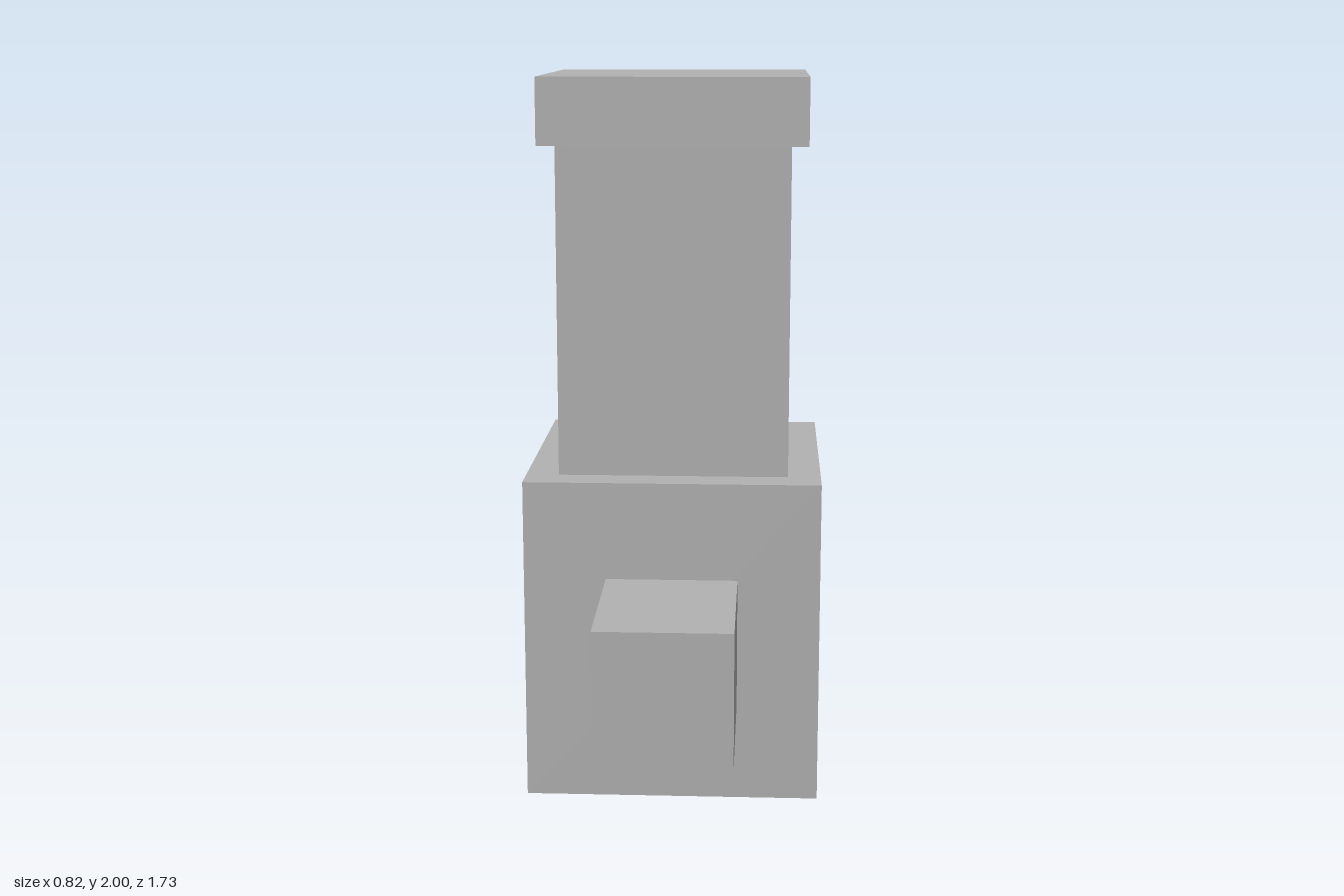
import * as THREE from 'three';

export function createModel() {
  const group = new THREE.Group();
  const stone = new THREE.MeshStandardMaterial({ color: 0xb2b2b2 });
  stone.name = 'plain grey';
  const u = 1 / 11; // proportional unit: the model is 22 units tall

  // Box of size w x h x d units, with its bottom at y and centre at z
  function block(name, w, h, d, y, z = 0) {
    const mesh = new THREE.Mesh(new THREE.BoxGeometry(w * u, h * u, d * u), stone);
    mesh.name = name;
    mesh.position.set(0, (y + h / 2) * u, z * u);
    group.add(mesh);
  }

  // Stacked square tower
  block('base', 9, 10, 9, 0);
  block('column', 7, 10, 7, 10);
  block('cap', 8, 2, 8, 20);

  // Square arms at front and back
  block('frontArm', 4, 4, 5, 3, 7);
  block('backArm', 4, 4, 5, 3, -7);

  return group;
}
